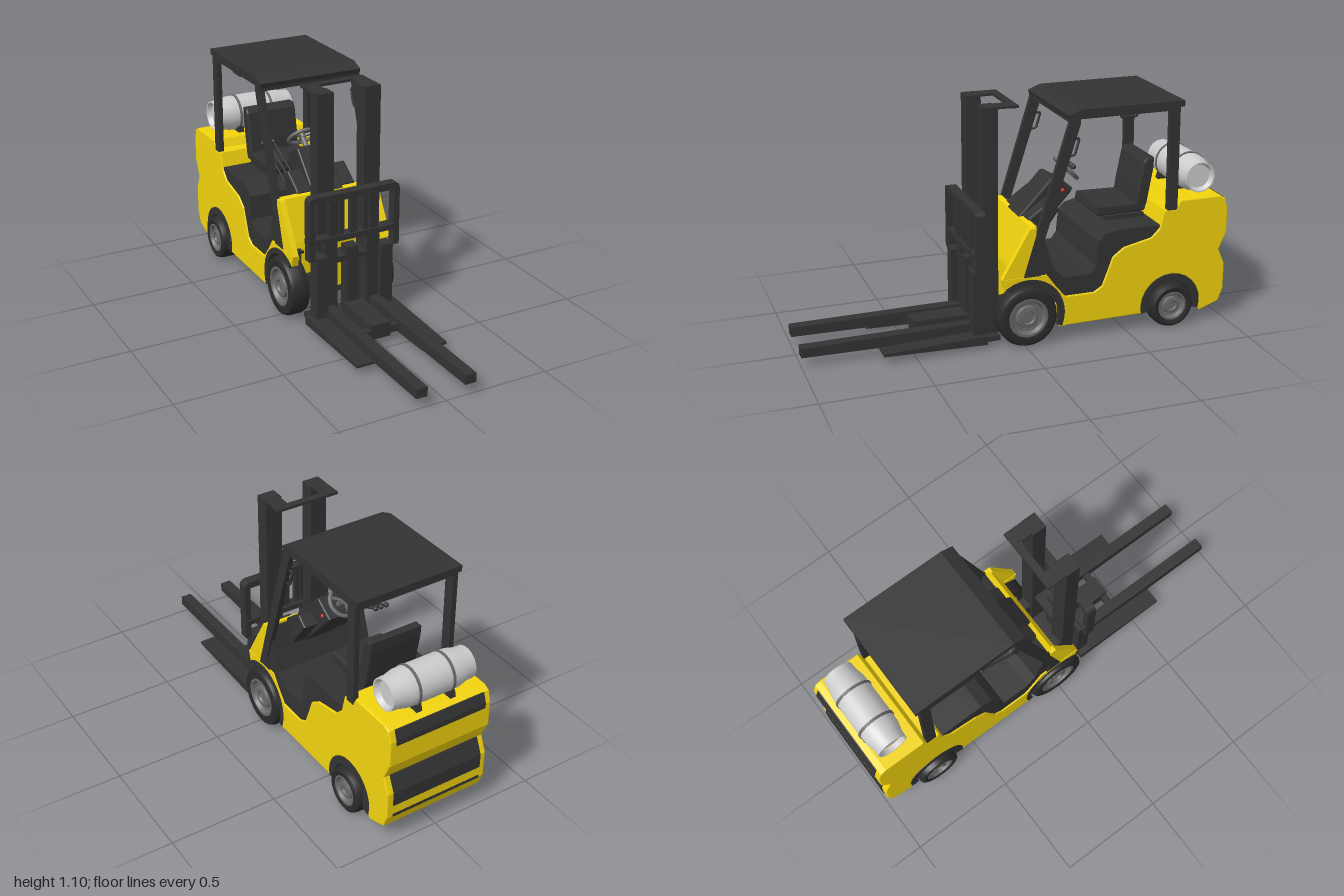
import * as THREE from 'three';
import { toCreasedNormals } from 'three/addons/utils/BufferGeometryUtils.js';

const mat = (color) => new THREE.MeshStandardMaterial({ color });
const yellow = mat(0xf2d40e), dark = mat(0x333333), tyre = mat(0x2b2b2b);
const rimGrey = mat(0x6a6a6a), steel = mat(0xcccccc), red = mat(0xcc2222);

export function createModel() {
  const root = new THREE.Group();
  const add = (name, geo, m) => {
    const mesh = new THREE.Mesh(geo, m);
    mesh.name = name;
    root.add(mesh);
    return mesh;
  };
  // box given by its limits on each axis
  const box = (name, m, x0, x1, y0, y1, z0, z1) => {
    const g = new THREE.BoxGeometry(Math.abs(x1 - x0), y1 - y0, z1 - z0);
    return add(name, g.translate((x0 + x1) / 2, (y0 + y1) / 2, (z0 + z1) / 2), m);
  };
  // side profile of [z, y] points, extruded from x0 to x1
  const slab = (name, m, pts, x0, x1, bevel = 0) => {
    const [a, b] = [Math.min(x0, x1), Math.max(x0, x1)];
    const shape = new THREE.Shape(pts.map(([z, y]) => new THREE.Vector2(z, y)));
    const g = new THREE.ExtrudeGeometry(shape, {
      depth: b - a - 2 * bevel, bevelEnabled: bevel > 0, bevelSize: bevel,
      bevelThickness: bevel, bevelOffset: -bevel, bevelSegments: 2,
    });
    return add(name, g.rotateY(-Math.PI / 2).translate(b - bevel, 0, 0), m);
  };
  // arc of [z, y] points, angles in degrees from +z
  const arc = (z, y, r, a0, a1, n = 14) => Array.from({ length: n + 1 }, (_, i) => {
    const a = THREE.MathUtils.degToRad(a0 + (a1 - a0) * i / n);
    return [z + r * Math.cos(a), y + r * Math.sin(a)];
  });
  // turned part along x, points are [radius, x]
  const turned = (pts, n = 32) => toCreasedNormals(new THREE.LatheGeometry(
    pts.map(([r, x]) => new THREE.Vector2(r, x)), n).rotateZ(-Math.PI / 2), 0.6);
  const tube = (name, m, pts, r, closed = false) => add(name, new THREE.TubeGeometry(
    new THREE.CatmullRomCurve3(pts.map((p) => new THREE.Vector3(...p)), closed, 'catmullrom', 0.1),
    24, r, 8, closed), m);
  const both = (fn) => [1, -1].forEach(fn);

  const FZ = -0.01, FY = 0.145, RZ = -0.717, RY = 0.11;

  // yellow body with counterweight
  slab('body', yellow, [
    [-0.165, 0.075], ...arc(RZ, RY, 0.148, -12, 195),
    [-0.875, 0.055], [-0.97, 0.09], [-0.993, 0.15], [-0.993, 0.275], [-0.96, 0.35], [-0.996, 0.43],
    [-0.996, 0.55], [-0.98, 0.6], [-0.95, 0.615], [-0.75, 0.615], [-0.73, 0.575], [-0.67, 0.575],
    [-0.65, 0.49], [-0.61, 0.45], [-0.475, 0.42], [-0.42, 0.38], [-0.395, 0.31], [-0.37, 0.245],
    [-0.33, 0.22], [-0.18, 0.22],
  ], -0.255, 0.255, 0.006);
  // dark bands across the back of the counterweight
  slab('rearUpperBand', dark, [[-0.98, 0.53], [-0.98, 0.602], [-0.984, 0.6], [-1, 0.555], [-1, 0.53]], -0.225, 0.225);
  slab('rearMiddleBand', dark, [[-0.95, 0.21], [-0.95, 0.355], [-0.965, 0.352], [-0.998, 0.277], [-0.998, 0.21]], -0.225, 0.225);
  box('rearLowerBand', dark, -0.225, 0.225, 0.15, 0.162, -0.997, -0.97);

  // dark chassis, step, floor and seat mount
  box('chassis', dark, -0.165, 0.165, 0.065, 0.3, -0.87, 0.02);
  box('bellyPlate', dark, -0.215, 0.215, 0.068, 0.09, -0.57, -0.17);
  slab('floorAndHood', dark, [
    [0.0, 0.335], [-0.03, 0.55], [-0.07, 0.56], [-0.1, 0.46], [-0.135, 0.36], [-0.18, 0.31], [-0.315, 0.31],
    [-0.34, 0.345], [-0.35, 0.46], [-0.38, 0.49], [-0.44, 0.505], [-0.66, 0.505], [-0.66, 0.4], [-0.45, 0.2],
    [-0.17, 0.2], [-0.17, 0.24], [-0.12, 0.3], [-0.08, 0.325],
  ], -0.248, 0.248);

  // front cowl
  box('frontPanel', yellow, -0.165, 0.165, 0.1, 0.36, -0.06, 0.03);
  slab('cowl', yellow, [[0.035, 0.335], [0.03, 0.36], [-0.03, 0.56], [-0.055, 0.565], [-0.05, 0.335]], -0.235, 0.235);
  slab('dashColumn', dark, [[-0.03, 0.5], [-0.03, 0.56], [-0.185, 0.725], [-0.2, 0.728], [-0.29, 0.67], [-0.28, 0.65], [-0.1, 0.45]], -0.08, 0.08, 0.008);
  slab('dashShoulder', dark, [[-0.04, 0.5], [-0.05, 0.57], [-0.15, 0.64], [-0.2, 0.6], [-0.1, 0.46]], -0.15, 0.15, 0.008);
  const button = add('button', new THREE.SphereGeometry(0.01, 12, 8), red);
  button.position.set(0.08, 0.665, -0.24);

  both((s) => {
    slab('cowlSide', yellow, [[0.11, 0.335], [-0.02, 0.56], [-0.05, 0.56], [-0.05, 0.335]], s * 0.225, s * 0.252);
    // fenders
    slab('frontFenderEdge', yellow, [[0.11, 0.335], ...arc(FZ, FY, 0.176, 52, 202), [-0.19, 0.075],
      [-0.19, 0.22], [-0.14, 0.28], [-0.1, 0.335]], s * 0.222, s * 0.255);
    slab('frontWheelArch', dark, [...arc(FZ, FY, 0.178, 55, 202), ...arc(FZ, FY, 0.152, 202, 55)], s * 0.225, s * 0.257);
    slab('frontInnerArch', dark, [...arc(FZ, FY, 0.178, 75, 202), ...arc(FZ, FY, 0.165, 202, 75)], s * 0.16, s * 0.225);
    slab('rearWheelArch', dark, [...arc(RZ, RY, 0.15, -12, 195), ...arc(RZ, RY, 0.112, 195, -12)], s * 0.16, s * 0.257);

    // overhead guard posts
    slab('frontPost', dark, [[0.01, 0.335], [-0.2, 1.03], [-0.2, 1.06], [-0.25, 1.06], [-0.25, 1.02], [-0.055, 0.4], [-0.07, 0.335]], s * 0.232, s * 0.256);
    slab('rearPost', dark, [[-0.68, 1.06], [-0.73, 1.06], [-0.735, 0.57], [-0.685, 0.57]], s * 0.23, s * 0.254);
    // grab handles
    tube('postHandle', dark, [[s * 0.24, 0.95, -0.21], [s * 0.24, 0.95, -0.25], [s * 0.24, 0.88, -0.23], [s * 0.24, 0.87, -0.19]], 0.006);
    tube('roofHandle', dark, [[s * 0.235, 1.06, -0.45], [s * 0.235, 1.027, -0.45], [s * 0.235, 1.027, -0.525], [s * 0.235, 1.06, -0.525]], 0.006);
    box('roofRail', dark, s * 0.23, s * 0.254, 1.04, 1.06, -0.73, -0.22);
  });
  slab('roof', dark, [[-0.195, 1.06], [-0.255, 1.083], [-0.75, 1.083], [-0.75, 1.055], [-0.255, 1.055], [-0.2, 1.04]], -0.256, 0.256);
  box('roofFrontBeam', dark, -0.235, 0.235, 1.02, 1.06, -0.24, -0.21);
  box('roofRearBeam', dark, -0.235, 0.235, 1.03, 1.06, -0.73, -0.7);

  // wheels
  const wheel = (name, r, w, s, x, y, z) => {
    const g = new THREE.Group();
    g.name = name;
    const h = w / 2, k = r * 0.66;
    const tyreMesh = new THREE.Mesh(turned([[k, -h * 0.9], [r * 0.85, -h], [r * 0.95, -h * 0.88], [r, -h * 0.55],
      [r, h * 0.55], [r * 0.95, h * 0.88], [r * 0.85, h], [k, h * 0.9], [k, h * 0.4]]), tyre);
    const rim = new THREE.Mesh(turned([[0, -h * 0.85], [k, -h * 0.85], [k, h * 0.92], [k * 0.88, h * 0.92], [k * 0.78, h * 0.55],
      [k * 0.6, h * 0.5], [k * 0.55, h * 0.8], [k * 0.35, h * 0.85], [k * 0.3, h * 0.65], [0, h * 0.65]]), rimGrey);
    tyreMesh.name = name + 'Tyre';
    rim.name = name + 'Rim';
    g.add(tyreMesh, rim);
    g.position.set(s * x, y, z);
    if (s < 0) g.rotation.y = Math.PI;
    root.add(g);
  };
  both((s) => {
    wheel('frontWheel', 0.141, 0.1, s, 0.222, 0.143, FZ);
    wheel('rearWheel', 0.106, 0.1, s, 0.234, 0.108, RZ);
  });
  add('frontAxle', turned([[0, -0.2], [0.04, -0.2], [0.04, 0.2], [0, 0.2]], 20), dark).position.set(0, FY, FZ);
  add('rearAxle', turned([[0, -0.2], [0.03, -0.2], [0.03, 0.2], [0, 0.2]], 20), dark).position.set(0, RY, RZ);

  // seat
  box('seatBellows', dark, -0.11, 0.11, 0.5, 0.525, -0.635, -0.44);
  box('seatRail', dark, -0.09, 0.09, 0.525, 0.545, -0.62, -0.42);
  slab('seatCushion', dark, [[-0.385, 0.55], [-0.39, 0.585], [-0.6, 0.58], [-0.64, 0.575], [-0.63, 0.54], [-0.4, 0.535]], -0.13, 0.13, 0.008);
  slab('seatBack', dark, [[-0.585, 0.57], [-0.595, 0.64], [-0.62, 0.77], [-0.635, 0.79], [-0.672, 0.79], [-0.67, 0.74], [-0.64, 0.57]], -0.13, 0.13, 0.008);

  // steering wheel
  const steering = new THREE.Group();
  steering.name = 'steeringWheel';
  const part = (geo, name) => {
    const m = new THREE.Mesh(geo, rimGrey);
    m.name = name;
    steering.add(m);
    return m;
  };
  part(new THREE.TorusGeometry(0.068, 0.009, 10, 36), 'steeringRim');
  part(new THREE.CylinderGeometry(0.018, 0.018, 0.016, 16).rotateX(Math.PI / 2), 'steeringHub');
  for (let i = 0; i < 3; i++) {
    part(new THREE.BoxGeometry(0.012, 0.066, 0.008).translate(0, 0.033, 0), 'steeringSpoke').rotation.z = Math.PI + i * Math.PI * 2 / 3;
  }
  part(new THREE.CylinderGeometry(0.013, 0.013, 0.07, 12).rotateX(Math.PI / 2).translate(0, 0, 0.04), 'steeringColumn');
  steering.position.set(0, 0.742, -0.287);
  steering.rotation.x = Math.PI / 4;
  root.add(steering);
  // hydraulic levers
  [-0.11, -0.138, -0.165].forEach((x) => {
    tube('lever', dark, [[x, 0.6, -0.14], [x, 0.66, -0.27], [x, 0.705, -0.365]], 0.005);
    add('leverKnob', new THREE.SphereGeometry(0.012, 12, 8), dark).position.set(x, 0.708, -0.37);
  });

  // gas bottle on its cradle
  add('gasBottle', turned([[0.055, -0.185], [0.066, -0.207], [0.072, -0.207], [0.074, -0.17], [0.084, -0.13], [0.086, -0.08],
    [0.086, 0.08], [0.084, 0.13], [0.074, 0.17], [0.072, 0.207], [0.066, 0.207], [0.055, 0.185]]), steel).position.set(0, 0.697, -0.872);
  add('bottleEnds', turned([[0, -0.18], [0.068, -0.18], [0.068, 0.18], [0, 0.18]]), steel).position.set(0, 0.697, -0.872);
  both((s) => {
    add('bottleStrap', turned([[0.08, -0.006], [0.09, -0.006], [0.09, 0.006], [0.08, 0.006]]), rimGrey).position.set(s * 0.085, 0.697, -0.872);
    slab('bottleCradle', dark, [[-0.79, 0.61], [-0.8, 0.645], [-0.85, 0.615], [-0.895, 0.615], [-0.945, 0.645], [-0.955, 0.61]], s * 0.07, s * 0.1);
  });

  // mast, carriage and forks
  both((s) => {
    box('mastUpright', dark, s * 0.076, s * 0.157, 0.04, 1.1, 0.097, 0.165);
    box('mastTopArm', dark, s * 0.085, s * 0.155, 1.09, 1.1, 0.0, 0.1);
    box('mastBracket', dark, s * 0.09, s * 0.145, 0.1, 0.2, 0.0, 0.1);
    box('carriageShank', dark, s * 0.135, s * 0.195, 0.03, 0.36, 0.165, 0.228);
    box('carriageInner', dark, s * 0.076, s * 0.14, 0.03, 0.44, 0.165, 0.2);
    // backrest side frame with rounded shoulder
    box('backrestSide', dark, s * 0.2, s * 0.228, 0.35, 0.63, 0.178, 0.225);
    slab('forkBlade', dark, [[0.65, 0.035], [0.65, 0.048], [0.225, 0.062], [0.17, 0.062], [0.17, 0.022]], s * 0.1, s * 0.225);
    slab('forkBeam', dark, [[1, 0.05], [1, 0.094], [0.18, 0.1], [0.18, 0.04]], s * 0.092, s * 0.145);
    box('backrestBar', dark, s * 0.08, s * 0.124, 0.44, 0.63, 0.19, 0.215);
    box('backrestInnerBar', dark, s * 0.05, s * 0.072, 0.44, 0.63, 0.19, 0.215);
  });
  box('backrestCentreBar', dark, -0.018, 0.018, 0.44, 0.63, 0.19, 0.215);
  const top = new THREE.Shape();
  top.moveTo(-0.228, 0.62).lineTo(0.228, 0.62).quadraticCurveTo(0.228, 0.652, 0.2, 0.652)
    .lineTo(-0.2, 0.652).quadraticCurveTo(-0.228, 0.652, -0.228, 0.62);
  add('backrestTopBar', new THREE.ExtrudeGeometry(top, { depth: 0.047, bevelEnabled: false }).translate(0, 0, 0.178), dark);
  box('carriageUpperBar', dark, -0.225, 0.225, 0.425, 0.45, 0.17, 0.225);
  box('carriageLowerBar', dark, -0.195, 0.195, 0.022, 0.045, 0.1, 0.228);
  box('mastTopBar', dark, -0.155, 0.155, 1.088, 1.1, 0.0, 0.035);
  box('mastCrossBar', dark, -0.08, 0.08, 0.308, 0.335, 0.11, 0.2);
  box('liftCylinder', dark, -0.03, 0.03, 0.03, 0.377, 0.15, 0.21);
  box('forkCentreBlock', dark, -0.05, 0.05, 0.035, 0.105, 0.2, 0.465);
  box('forkCrossBar', dark, -0.1, 0.1, 0.047, 0.08, 0.43, 0.463);
  return root;
}
